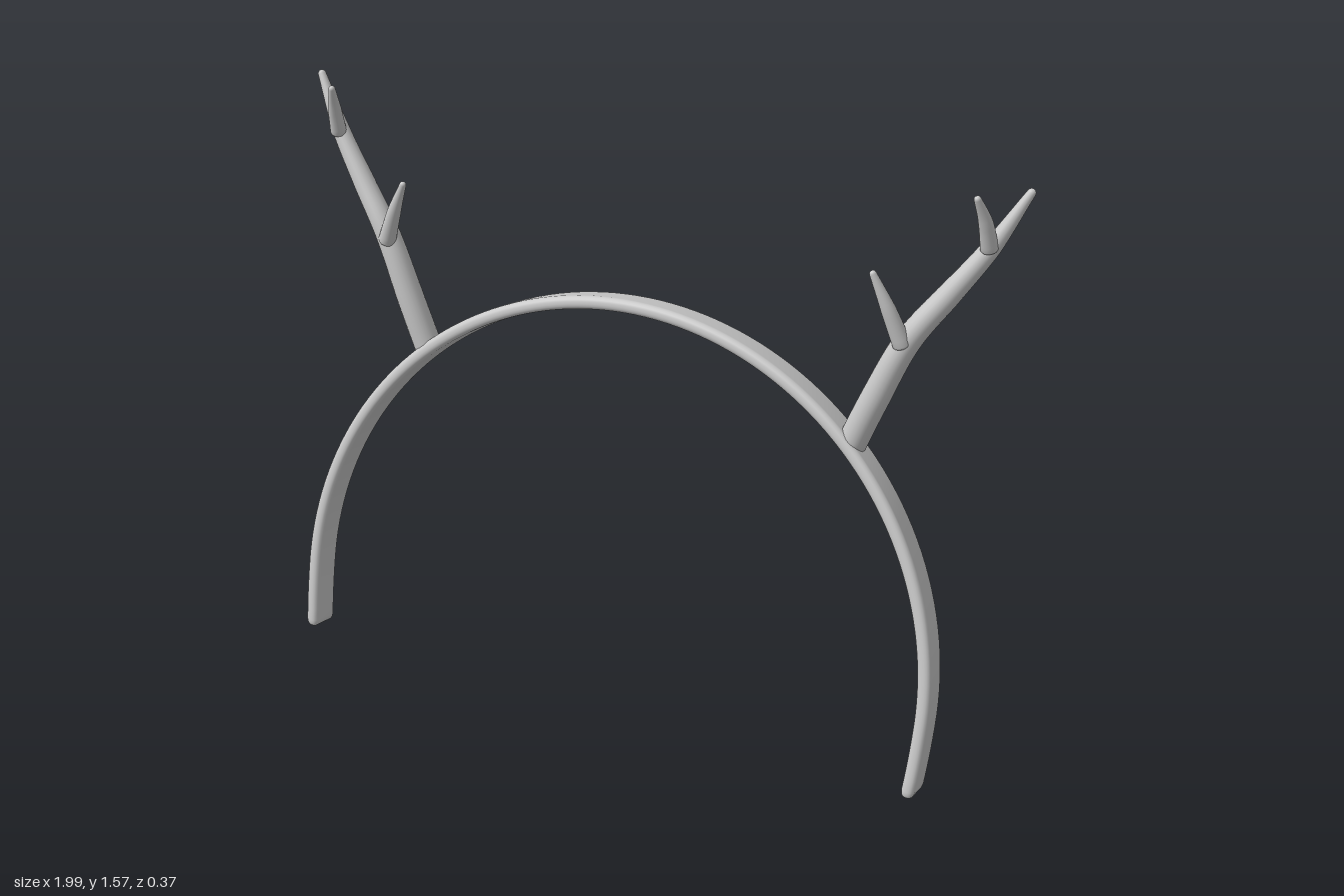
import * as THREE from 'three';

const V = (x, y, z) => new THREE.Vector3(x, y, z);

// Closed skin over a list of rings (arrays of points, counter-clockwise around the path)
function loft(rings) {
  const n = rings[0].length, pos = [], idx = [];
  for (const ring of rings) for (const p of ring) pos.push(p.x, p.y, p.z);
  const centre = (ring) => {
    const c = V(0, 0, 0);
    ring.forEach((p) => c.addScaledVector(p, 1 / n));
    pos.push(c.x, c.y, c.z);
    return pos.length / 3 - 1;
  };
  const last = (rings.length - 1) * n;
  const c0 = centre(rings[0]), c1 = centre(rings[rings.length - 1]);
  for (let j = 0; j < n; j++) {
    const k = (j + 1) % n;
    for (let i = 0; i < last; i += n) {
      idx.push(i + j, i + k, i + n + k, i + j, i + n + k, i + n + j);
    }
    idx.push(c0, k, j, c1, last + j, last + k);
  }
  const g = new THREE.BufferGeometry();
  g.setAttribute('position', new THREE.Float32BufferAttribute(pos, 3));
  g.setIndex(idx);
  g.computeVertexNormals();
  return g;
}

// Tapered horn with domed ends; radii are spread evenly along the curve
function horn(points, radii, steps, sides = 20) {
  const curve = new THREE.CatmullRomCurve3(points);
  const frames = curve.computeFrenetFrames(steps);
  const ring = (i, shift, scale) => {
    const t = i / steps, f = t * (radii.length - 1);
    const a = Math.min(Math.floor(f), radii.length - 2);
    const full = THREE.MathUtils.lerp(radii[a], radii[a + 1], f - a);
    const c = curve.getPointAt(t).addScaledVector(frames.tangents[i], shift * full);
    return Array.from({ length: sides }, (_, j) => {
      const w = (j / sides) * Math.PI * 2;
      return c.clone()
        .addScaledVector(frames.normals[i], Math.cos(w) * full * scale)
        .addScaledVector(frames.binormals[i], Math.sin(w) * full * scale);
    });
  };
  const rings = [], dome = [1.4, 1.1, 0.75, 0.4];
  dome.forEach((a) => rings.push(ring(0, -Math.sin(a) * 0.5, Math.cos(a))));
  for (let i = 0; i <= steps; i++) rings.push(ring(i, 0, 1));
  dome.reverse().forEach((a) => rings.push(ring(steps, Math.sin(a), Math.cos(a))));
  return loft(rings);
}

// Tilted arch: a half circle with nearly straight legs and a rounded flat section
function bandGeometry() {
  const R = 0.912, LEG = 0.2, HALF_T = 0.018, HALF_W = 0.05, ROUND = 0.02;
  const total = Math.PI * R + 2 * LEG;
  const tilt = THREE.MathUtils.degToRad(13.8);
  const up = V(0, Math.cos(tilt), -Math.sin(tilt));
  const across = V(0, -Math.sin(tilt), -Math.cos(tilt));
  const origin = V(0, 0.205, 0.091);

  const ring = (s) => {
    const d = Math.min(s, total - s);
    const side = s < total / 2 ? 1 : -1;
    const angle = Math.max(0, (d - LEG) / R);
    let x = R * Math.cos(angle), u = R * Math.sin(angle);
    if (d < LEG) {
      u = d - LEG;
      x = R - 0.008 * (u / LEG) ** 2;
    }
    const c = origin.clone().addScaledVector(up, u).add(V(side * x, 0, 0));
    const out = V(side * Math.cos(angle), 0, 0).addScaledVector(up, Math.sin(angle));
    // Ends shrink inwards along a quarter circle
    const k = Math.max(0, 1 - d / ROUND);
    const inset = 0.014 * (1 - Math.sqrt(1 - k * k));
    const r = Math.max(0.015 - inset, 0.002);
    const h = HALF_T - inset - r, w = HALF_W - inset - r;
    const pts = [];
    [[1, 1], [-1, 1], [-1, -1], [1, -1]].forEach(([sa, sb], q) => {
      for (let j = 0; j <= 4; j++) {
        const a = (q + j / 4) * Math.PI / 2;
        pts.push(c.clone()
          .addScaledVector(out, sa * h + r * Math.cos(a))
          .addScaledVector(across, sb * w + r * Math.sin(a)));
      }
    });
    return pts;
  };

  const ends = [0, 0.001, 0.004, 0.009];
  const stations = [...ends];
  for (let i = 0; i <= 100; i++) stations.push(ROUND + (total - 2 * ROUND) * i / 100);
  [...ends].reverse().forEach((e) => stations.push(total - e));
  return loft(stations.map(ring));
}

export function createModel() {
  const model = new THREE.Group();
  model.name = 'antlerHeadband';
  const grey = new THREE.MeshStandardMaterial({ color: 0xc8c8c8 });
  grey.name = 'light grey';

  const add = (parent, name, geometry) => {
    const mesh = new THREE.Mesh(geometry, grey);
    mesh.name = name;
    parent.add(mesh);
  };

  add(model, 'band', bandGeometry());

  // A pair of antlers, each a beam with two forward tines
  for (const side of [1, -1]) {
    const antler = new THREE.Group();
    antler.name = side > 0 ? 'leftAntler' : 'rightAntler';
    const P = (x, y, z) => V(side * x, y, z);
    add(antler, 'beam', horn(
      [P(0.618, 0.865, -0.066), P(0.67, 1.0, -0.069), P(0.742, 1.17, -0.083),
        P(0.83, 1.3, -0.112), P(0.91, 1.42, -0.14), P(0.985, 1.56, -0.174)],
      [0.038, 0.037, 0.034, 0.03, 0.024, 0.011], 40));
    add(antler, 'lowerTine', horn(
      [P(0.732, 1.165, -0.062), P(0.695, 1.26, -0.047), P(0.657, 1.345, -0.036)],
      [0.024, 0.019, 0.009], 12));
    add(antler, 'upperTine', horn(
      [P(0.91, 1.425, -0.125), P(0.902, 1.5, -0.101), P(0.887, 1.562, -0.073)],
      [0.022, 0.018, 0.009], 12));
    model.add(antler);
  }
  return model;
}
